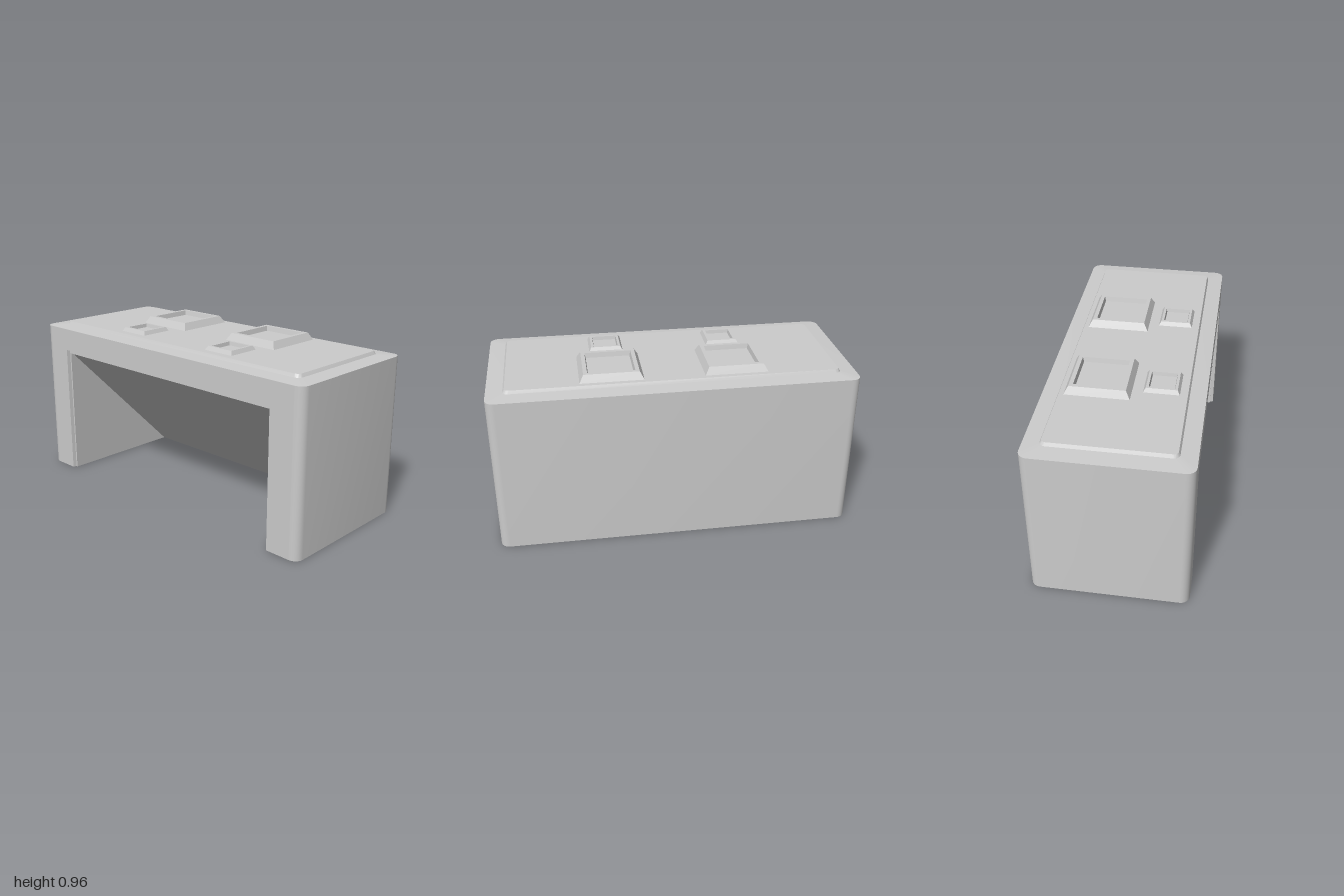
import * as THREE from 'three';
import { toCreasedNormals } from 'three/addons/utils/BufferGeometryUtils.js';

const material = new THREE.MeshStandardMaterial({ color: 0xcccccc, side: THREE.DoubleSide });

// Outline of a rounded rectangle (half sizes hx, hz) at height y, starting at the front right corner
function ring(hx, hz, r, y, steps = 6) {
  const points = [];
  for (let c = 0; c < 4; c++) {
    const sx = c < 2 ? 1 : -1, sz = c === 0 || c === 3 ? 1 : -1;
    for (let i = 0; i <= steps; i++) {
      const a = Math.PI / 2 - (c + i / steps) * Math.PI / 2;
      points.push(new THREE.Vector3(sx * (hx - r) + r * Math.cos(a), y, sz * (hz - r) + r * Math.sin(a)));
    }
  }
  return points;
}

// Square outline at height y
function square(h, y) {
  return [[h, h], [h, -h], [-h, -h], [-h, h]].map(([x, z]) => new THREE.Vector3(x, y, z));
}

// Skin a stack of outlines; optionally join the ends and fill the last outline
function loft(loops, { closed = true, cap = false } = {}) {
  const pos = [];
  const tri = (a, b, c) => {
    const n = b.clone().sub(a).cross(c.clone().sub(a));
    if (n.length() > 1e-9) for (const p of [a, b, c]) pos.push(p.x, p.y, p.z);
  };
  for (let k = 0; k + 1 < loops.length; k++) {
    const A = loops[k], B = loops[k + 1], n = A.length;
    for (let i = 0; i < (closed ? n : n - 1); i++) {
      const j = (i + 1) % n;
      tri(A[i], A[j], B[j]);
      tri(A[i], B[j], B[i]);
    }
  }
  if (cap) {
    const top = loops[loops.length - 1];
    const mid = top.reduce((s, p) => s.add(p), new THREE.Vector3()).divideScalar(top.length);
    top.forEach((p, i) => tri(p, top[(i + 1) % top.length], mid));
  }
  const g = new THREE.BufferGeometry();
  g.setAttribute('position', new THREE.Float32BufferAttribute(pos, 3));
  g.computeVertexNormals();
  return toCreasedNormals(g, 0.5);
}

export function createModel() {
  const group = new THREE.Group();
  const add = (name, geometry, parent = group) => {
    const mesh = new THREE.Mesh(geometry, material);
    mesh.name = name;
    parent.add(mesh);
    return mesh;
  };
  const HX = 1, HZ = 0.425, R = 0.05, H = 0.9;

  // Side and back walls with rounded vertical corners, open at the bottom
  add('outerWalls', loft([ring(HX, HZ, R, 0), ring(HX, HZ, R, H)], { closed: false }));

  // Front wall: an arch around the kneehole
  const front = new THREE.Shape();
  const fx = HX - R;
  [[-fx, 0], [-0.805, 0], [-0.805, 0.77], [0.805, 0.77], [0.805, 0], [fx, 0], [fx, H], [-fx, H]]
    .forEach(([x, y], i) => (i ? front.lineTo(x, y) : front.moveTo(x, y)));
  add('frontWall', new THREE.ShapeGeometry(front)).position.z = HZ;

  // Small stepped trim around the opening
  const arch = (x, y, z) => [[x, 0], [x, y], [-x, y], [-x, 0]].map(([u, v]) => new THREE.Vector3(u, v, z));
  add('openingTrim', loft([
    arch(0.805, 0.77, HZ), arch(0.8, 0.765, 0.405), arch(0.79, 0.747, 0.405), arch(0.79, 0.747, 0.395),
  ], { closed: false }));

  // Sloping panel from the top of the opening down to the back, with triangular cheeks
  const ix = 0.79, iy = 0.747, zf = 0.395, zb = -0.355;
  add('slopingPanel', loft([
    [new THREE.Vector3(-ix, 0, zb), new THREE.Vector3(ix, 0, zb)],
    [new THREE.Vector3(-ix, iy, zf), new THREE.Vector3(ix, iy, zf)],
  ], { closed: false }));
  for (const s of [1, -1]) {
    const corners = [[0, zf], [iy, zf], [0, zb]].map(([y, z]) => new THREE.Vector3(s * ix, y, z));
    if (s < 0) corners.reverse();
    const cheek = new THREE.BufferGeometry().setFromPoints(corners);
    cheek.computeVertexNormals();
    add(s > 0 ? 'leftCheek' : 'rightCheek', cheek);
  }

  // Gently sloped top rim rising to a raised plate
  add('topRim', loft([ring(HX, HZ, R, H), ring(0.91, 0.338, 0.03, 0.908)]));
  add('topPlate', loft([ring(0.91, 0.338, 0.03, 0.908), ring(0.9, 0.33, 0.025, 0.925)], { cap: true }));

  // Bevelled square frames with sunken centres, two large and two small
  const frames = [
    { name: 'largeFrame', z: -0.132, base: 0.173, rim: 0.15, well: 0.128, floor: 0.122, top: 0.965, low: 0.938 },
    { name: 'smallFrame', z: 0.193, base: 0.096, rim: 0.083, well: 0.069, floor: 0.065, top: 0.947, low: 0.927 },
  ];
  for (const f of frames) {
    const geometry = loft([
      square(f.base, 0.924), square(f.rim, f.top), square(f.well, f.top), square(f.floor, f.low),
    ], { cap: true });
    for (const s of [1, -1]) {
      add(f.name + (s > 0 ? 'Left' : 'Right'), geometry).position.set(s * 0.337, 0, f.z);
    }
  }
  return group;
}
